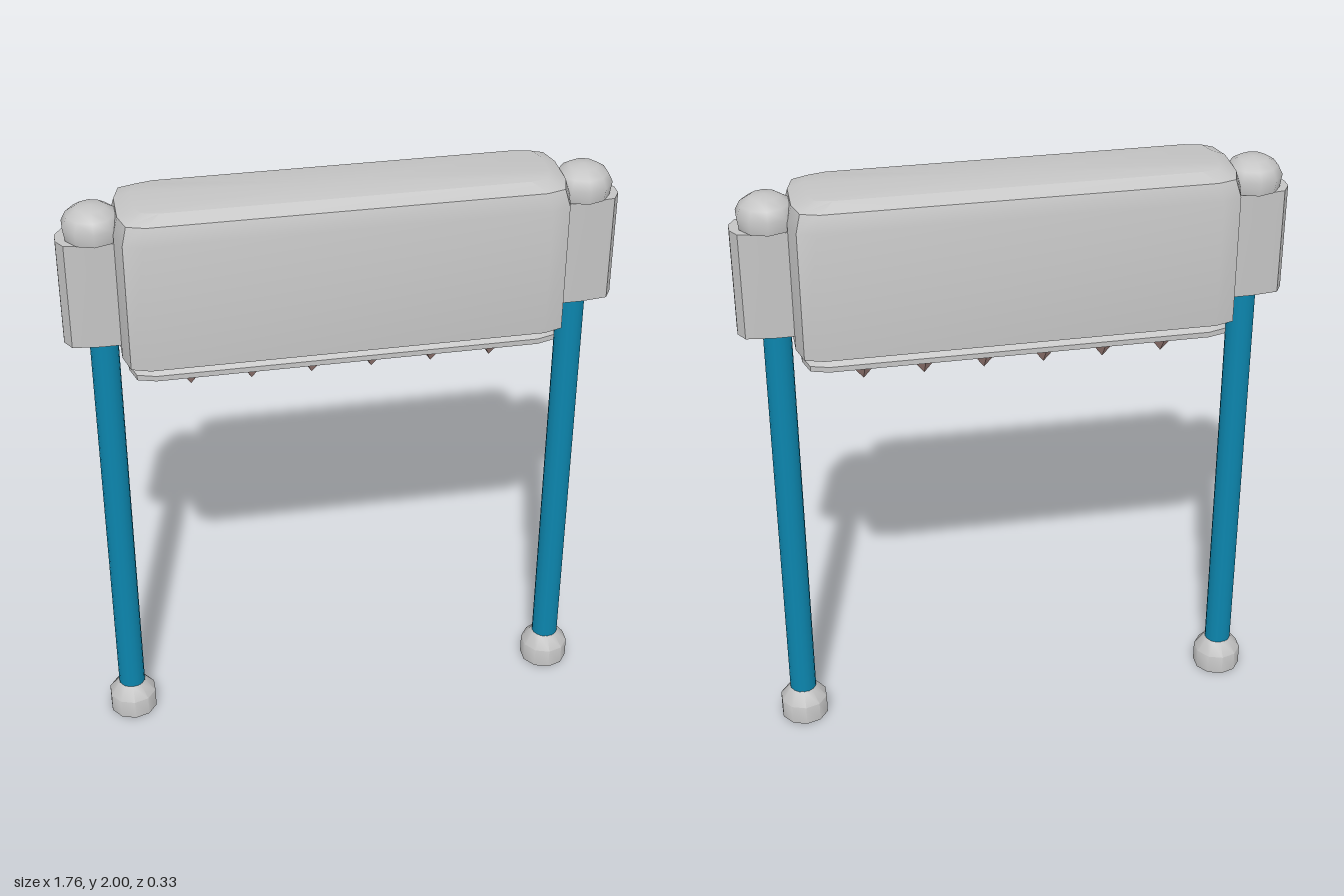
import * as THREE from 'three';
import { toCreasedNormals } from 'three/addons/utils/BufferGeometryUtils.js';

const grey = new THREE.MeshStandardMaterial({ color: 0xc4c4c4, side: THREE.DoubleSide });
grey.name = 'light grey';
const blue = new THREE.MeshStandardMaterial({ color: 0x0c85ad });
blue.name = 'post blue';
const rose = new THREE.MeshStandardMaterial({ color: 0xaa8a84 });
rose.name = 'spike brown';

// Stacks scaled copies of a plan outline; each level is [y, scaleX, scaleZ]
function stack(plan, levels, crease = 0.5) {
  const n = plan.length, pos = [], idx = [];
  for (const [y, sx, sz] of levels) for (const [x, z] of plan) pos.push(x * sx, y, z * sz);
  for (let l = 0; l < levels.length - 1; l++) {
    for (let i = 0; i < n; i++) {
      const a = l * n + i, b = l * n + (i + 1) % n, c = a + n, d = b + n;
      if (levels[l][1] > 0) idx.push(a, c, b);
      if (levels[l + 1][1] > 0) idx.push(b, c, d);
      else if (levels[l][1] === 0) continue;
    }
  }
  const g = new THREE.BufferGeometry();
  g.setAttribute('position', new THREE.Float32BufferAttribute(pos, 3));
  g.setIndex(idx);
  return toCreasedNormals(g.toNonIndexed(), crease);
}

function lathe(profile, sides, crease) {
  const g = new THREE.LatheGeometry(profile.map(([r, y]) => new THREE.Vector2(r, y)), sides);
  return toCreasedNormals(g, crease);
}

function add(parent, name, geometry, material, x = 0, y = 0, z = 0) {
  const m = new THREE.Mesh(geometry, material);
  m.name = name;
  m.position.set(x, y, z);
  parent.add(m);
  return m;
}

export function createModel() {
  const model = new THREE.Group();
  model.name = 'spikedGate';

  // Rectangular plan with clipped corners, walked from +x towards +z
  const W = 0.705, D = 0.165;
  const plan = [
    [W, 0.07], [0.685, 0.145], [0.625, D], [-0.625, D], [-0.685, 0.145], [-W, 0.07],
    [-W, -0.07], [-0.685, -0.145], [-0.625, -D], [0.625, -D], [0.685, -0.145], [W, -0.07],
  ];
  const level = (y, hx, hz) => [y, hx / W, hz / D];

  // Main block with rounded top
  add(model, 'block', stack(plan, [
    level(1.49, 0, 0), level(1.49, W, D), level(1.92, W, D),
    level(1.975, 0.69, 0.148), level(2, 0.64, 0.11), level(2, 0, 0),
  ]), grey);

  // Grooved base plate below the block
  add(model, 'basePlate', stack(plan, [
    level(1.425, 0, 0), level(1.425, 0.665, 0.118), level(1.44, 0.687, 0.146),
    level(1.458, 0.687, 0.146), level(1.47, 0.665, 0.128), level(1.495, 0.672, 0.135),
  ]), grey);

  // Row of downward spikes
  for (let i = 0; i < 6; i++) {
    const cone = new THREE.ConeGeometry(0.075, 0.1, 5).toNonIndexed();
    cone.computeVertexNormals();
    const spike = add(model, 'spike', cone, rose, -0.49 + i * 0.196, 1.377, 0);
    spike.rotation.x = Math.PI;
  }

  // Post assemblies: built on +x, turned round for the other side
  const bracketPlan = [
    [0.878, 0.02], [0.856, 0.057], [0.77, 0.068], [0.7, 0.068],
    [0.7, -0.068], [0.77, -0.068], [0.856, -0.057], [0.878, -0.02],
  ];
  for (const side of [1, -1]) {
    const assembly = new THREE.Group();
    assembly.name = side > 0 ? 'leftPost' : 'rightPost';
    if (side < 0) assembly.rotation.y = Math.PI;
    model.add(assembly);
    const px = 0.755;

    add(assembly, 'post', new THREE.CylinderGeometry(0.045, 0.045, 1.47, 16), blue, px, 0.815, 0);

    // Foot, hollow underneath
    add(assembly, 'foot', lathe([[0.082, 0], [0.082, 0.07], [0.046, 0.115]], 10, 0.7), grey, px, 0, 0);

    // Bracket: flat caps close on a point inside the outline
    const centred = bracketPlan.map(([x, z]) => [x - 0.79, z]);
    add(assembly, 'bracket', stack(centred, [
      [1.535, 0, 0], [1.535, 1, 1], [1.89, 1, 1], [1.89, 0, 0],
    ], 0.3), grey, 0.79, 0, 0);

    // Domed cap
    add(assembly, 'cap', lathe([
      [0, 1.892], [0.088, 1.892], [0.094, 1.935], [0.078, 1.966], [0.046, 1.987], [0, 1.993],
    ], 10, 0.85), grey, 0.764, 0, 0);
  }
  return model;
}
